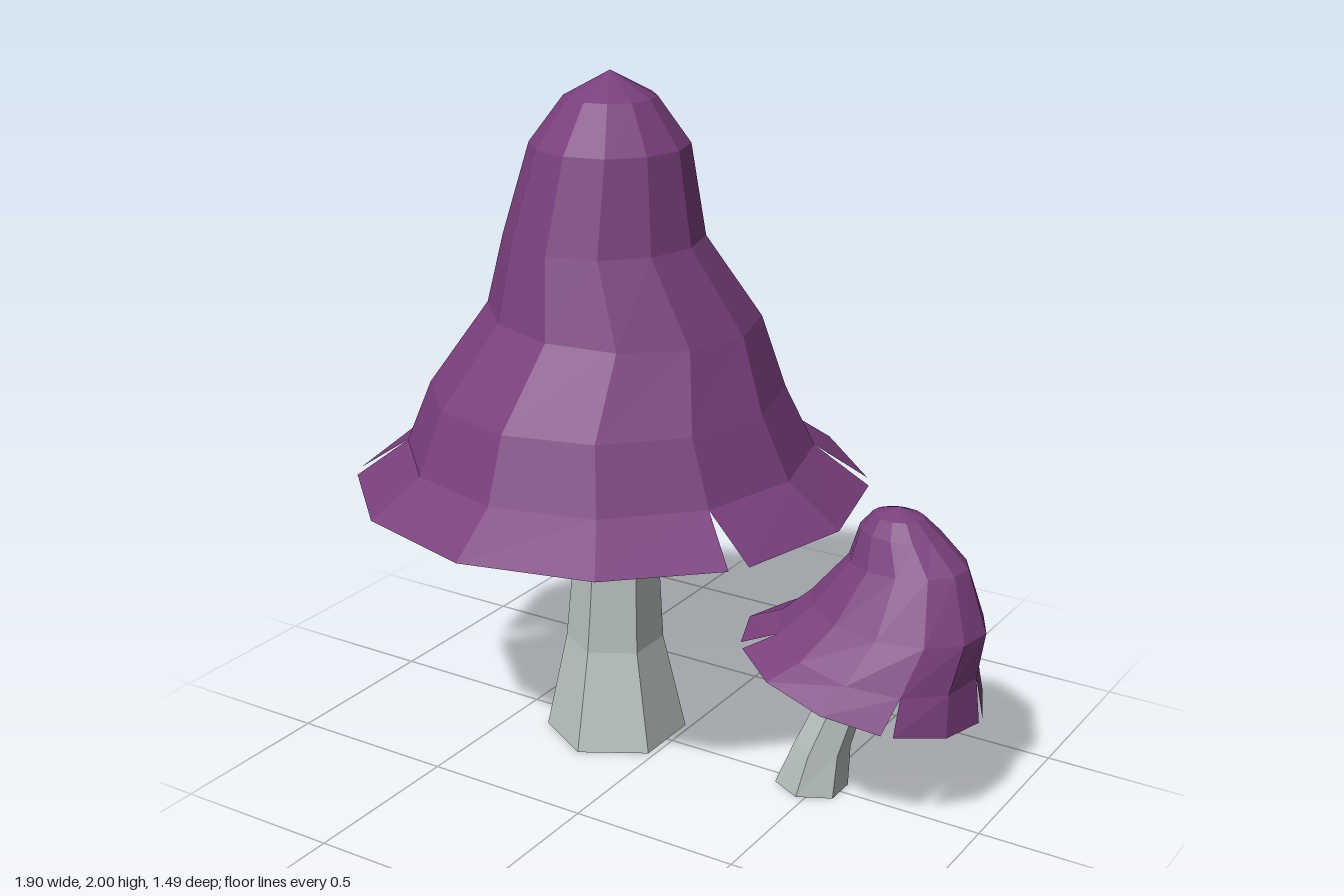
import * as THREE from 'three';

const capMaterial = new THREE.MeshStandardMaterial({ color: 0x7a3f7d, flatShading: true, side: THREE.DoubleSide });
capMaterial.name = 'purple cap';
const stemMaterial = new THREE.MeshStandardMaterial({ color: 0xb9c2bf, flatShading: true });
stemMaterial.name = 'pale grey stem';

// Point on a ring { x, y, z, rx, rz, sx, sz }: centre, radii and slope of y along x and z
function ringPoint(r, angle) {
  const dx = r.rx * Math.cos(angle), dz = r.rz * Math.sin(angle);
  return [r.x + dx, r.y + r.sx * dx + r.sz * dz, r.z + dz];
}

const ring = (x, y, z, rx, rz = rx, sx = 0, sz = 0) => ({ x, y, z, rx, rz, sx, sz });

// Skin rings listed from top to bottom; notches split the last band into flaps
function loft(rings, sides, phase, { notches = [], gap = 0, closed = false } = {}) {
  const pos = [];
  const step = (Math.PI * 2) / sides;
  const last = rings.length - 1;
  for (let k = 0; k < last; k++) {
    for (let i = 0; i < sides; i++) {
      const a0 = phase + i * step, a1 = a0 + step;
      const isBrim = k === last - 1;
      const b0 = isBrim && notches.includes(i) ? a0 + gap : a0;
      const b1 = isBrim && notches.includes((i + 1) % sides) ? a1 - gap : a1;
      const a = ringPoint(rings[k], a0), b = ringPoint(rings[k], a1);
      const c = ringPoint(rings[k + 1], b1), d = ringPoint(rings[k + 1], b0);
      pos.push(...d, ...a, ...c);
      if (rings[k].rx > 0) pos.push(...a, ...b, ...c);
    }
  }
  if (closed) {
    const top = rings[0], low = rings[last];
    for (let i = 0; i < sides; i++) {
      const a0 = phase + i * step, a1 = a0 + step;
      pos.push(top.x, top.y, top.z, ...ringPoint(top, a1), ...ringPoint(top, a0));
      pos.push(low.x, low.y, low.z, ...ringPoint(low, a0), ...ringPoint(low, a1));
    }
  }
  const geo = new THREE.BufferGeometry();
  geo.setAttribute('position', new THREE.Float32BufferAttribute(pos, 3));
  geo.computeVertexNormals();
  return geo;
}

function part(name, geo, material) {
  const mesh = new THREE.Mesh(geo, material);
  mesh.name = name;
  return mesh;
}

function group(name, ...children) {
  const g = new THREE.Group();
  g.name = name;
  g.add(...children);
  return g;
}

export function createModel() {
  const rad = THREE.MathUtils.degToRad;

  // Tall upright mushroom
  const largeCap = loft([
    ring(-0.2, 2.0, 0, 0),
    ring(-0.2, 1.93, 0, 0.13),
    ring(-0.203, 1.8, 0, 0.225),
    ring(-0.215, 1.54, 0.015, 0.285),
    ring(-0.175, 1.32, -0.025, 0.39, 0.39, -0.05),
    ring(-0.21, 1.1, 0.015, 0.51),
    ring(-0.205, 0.92, 0.01, 0.59),
    ring(-0.205, 0.81, 0, 0.745, 0.745, -0.01),
  ], 12, 0, { notches: [1, 5, 7, 11], gap: rad(2.4) });
  const largeStem = loft([
    ring(-0.18, 1.2, 0.02, 0.1),
    ring(-0.175, 0.82, 0.02, 0.108),
    ring(-0.203, 0.3, 0, 0.145),
    ring(-0.2, 0, 0, 0.21),
  ], 6, rad(30), { closed: true });

  // Small leaning mushroom
  const smallCap = loft([
    ring(0.67, 0.87, -0.1, 0),
    ring(0.67, 0.845, -0.1, 0.075, 0.06),
    ring(0.675, 0.8, -0.105, 0.118, 0.095),
    ring(0.705, 0.715, -0.1, 0.175, 0.13, 0.05),
    ring(0.69, 0.57, -0.075, 0.258, 0.205, -0.06),
    ring(0.645, 0.47, -0.05, 0.288, 0.275, -0.17),
    ring(0.605, 0.385, -0.047, 0.345, 0.352, -0.26, 0.08),
  ], 12, rad(-8), { notches: [0, 2, 5, 8], gap: rad(2.8) });
  const smallStem = loft([
    ring(0.65, 0.6, -0.08, 0.05),
    ring(0.6, 0.42, -0.04, 0.056),
    ring(0.503, 0.13, -0.005, 0.082),
    ring(0.475, 0, 0, 0.108, 0.095),
  ], 6, rad(30), { closed: true });

  return group('mushrooms',
    group('largeMushroom', part('largeCap', largeCap, capMaterial), part('largeStem', largeStem, stemMaterial)),
    group('smallMushroom', part('smallCap', smallCap, capMaterial), part('smallStem', smallStem, stemMaterial)));
}
